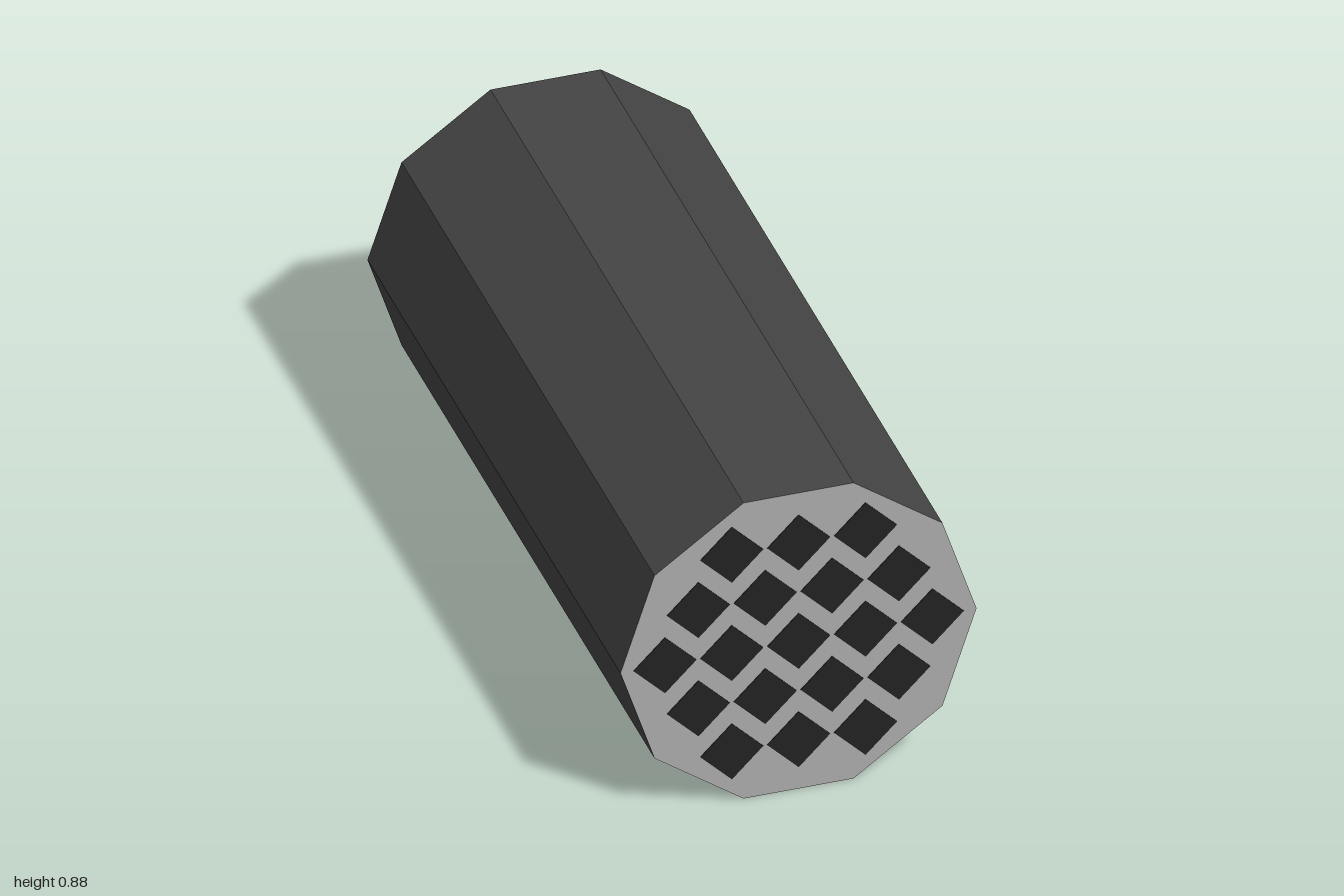
import * as THREE from 'three';

const flat = (name, color) => new THREE.MeshStandardMaterial({ name, color, flatShading: true });

export function createModel() {
  const shellMat = flat('charcoal shell', 0x444444);
  const endMat = flat('grey end', 0xaaaaaa);
  const cellMat = flat('dark cell', 0x222222);

  const model = new THREE.Group();
  model.name = 'cellularCore';
  const centreY = 0.442, plate = 0.004;

  // Ten-sided body along z, with grey end faces
  const bodyGeo = new THREE.CylinderGeometry(0.47, 0.47, 2 - plate, 10, 1, false, Math.PI / 2);
  bodyGeo.rotateX(Math.PI / 2);
  bodyGeo.scale(1, centreY / (0.47 * Math.sin(Math.PI * 0.4)), 1);
  const body = new THREE.Mesh(bodyGeo, [shellMat, endMat, endMat]);
  body.name = 'body';
  body.position.y = centreY;
  model.add(body);

  // Diamond cells in staggered rows on both ends
  const cellGeo = new THREE.CylinderGeometry(0.083, 0.083, plate, 4);
  cellGeo.rotateX(Math.PI / 2);
  for (const side of [1, -1]) {
    const end = new THREE.Group();
    end.name = side > 0 ? 'frontCells' : 'backCells';
    [3, 4, 5, 4, 3].forEach((count, row) => {
      for (let i = 0; i < count; i++) {
        const cell = new THREE.Mesh(cellGeo, cellMat);
        cell.name = 'cell';
        cell.position.set((i - (count - 1) / 2) * 0.1765, centreY + (row - 2) * 0.147, side * (1 - plate / 2));
        end.add(cell);
      }
    });
    model.add(end);
  }
  return model;
}
